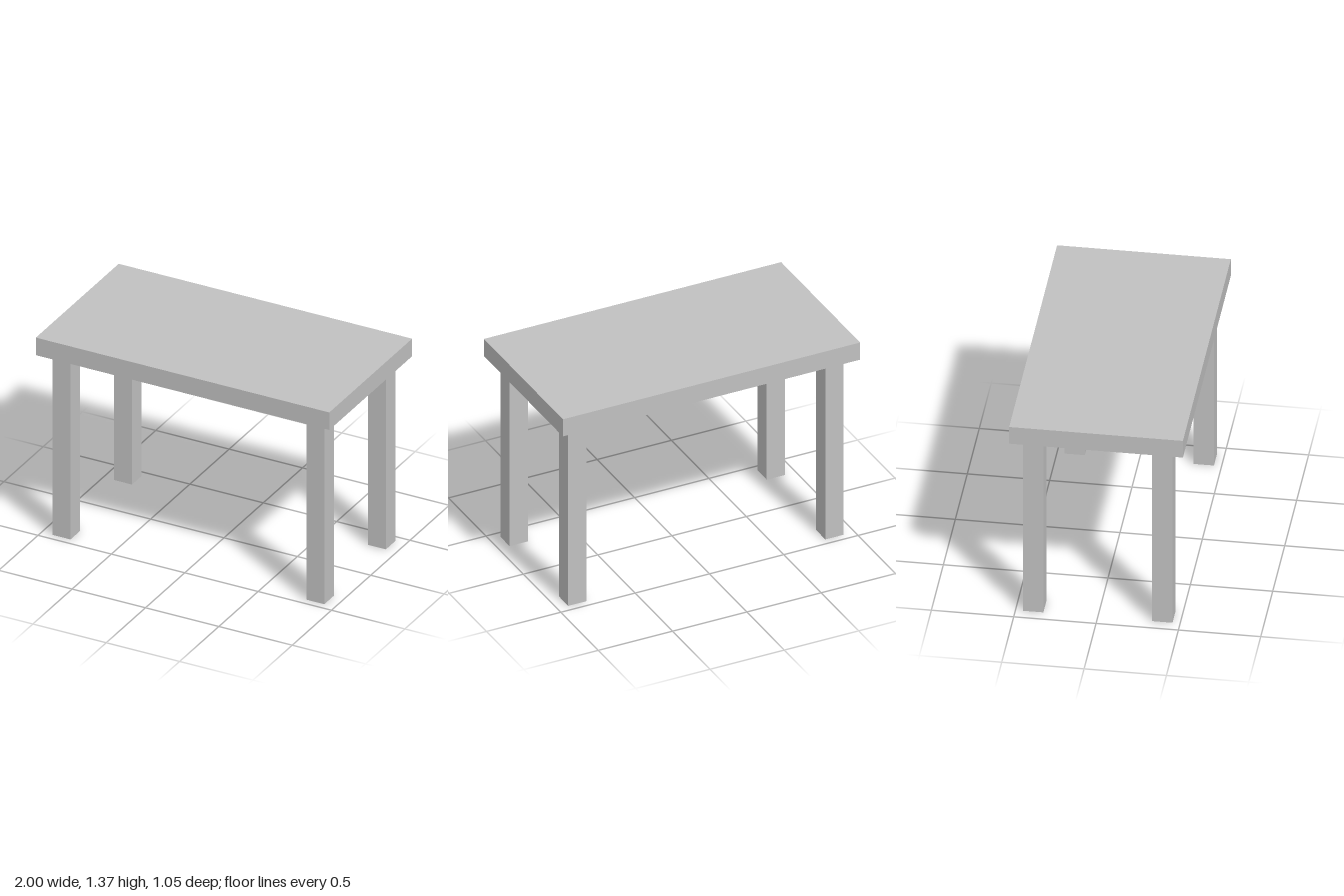
import * as THREE from 'three';

const LEG_HEIGHT = 1.245;
const LEG_WIDTH = 0.123;
const TOP_THICKNESS = 0.12;

export function createModel() {
  const table = new THREE.Group();
  table.name = 'table';

  const grey = new THREE.MeshStandardMaterial({ color: 0xc0c0c0 });
  grey.name = 'light grey';

  // Box standing on the given height
  const addBox = (name, width, height, depth, x, bottom, z) => {
    const mesh = new THREE.Mesh(new THREE.BoxGeometry(width, height, depth), grey);
    mesh.name = name;
    mesh.position.set(x, bottom + height / 2, z);
    table.add(mesh);
  };

  // Table top
  addBox('tableTop', 2, TOP_THICKNESS, 1.055, 0, LEG_HEIGHT, 0);

  // Four square legs, set in from the edges
  for (const [side, sx] of [['Left', 1], ['Right', -1]]) {
    for (const [end, sz] of [['front', 1], ['back', -1]]) {
      addBox(`${end}${side}Leg`, LEG_WIDTH, LEG_HEIGHT, LEG_WIDTH, sx * 0.865, 0, sz * 0.392);
    }
  }

  return table;
}
